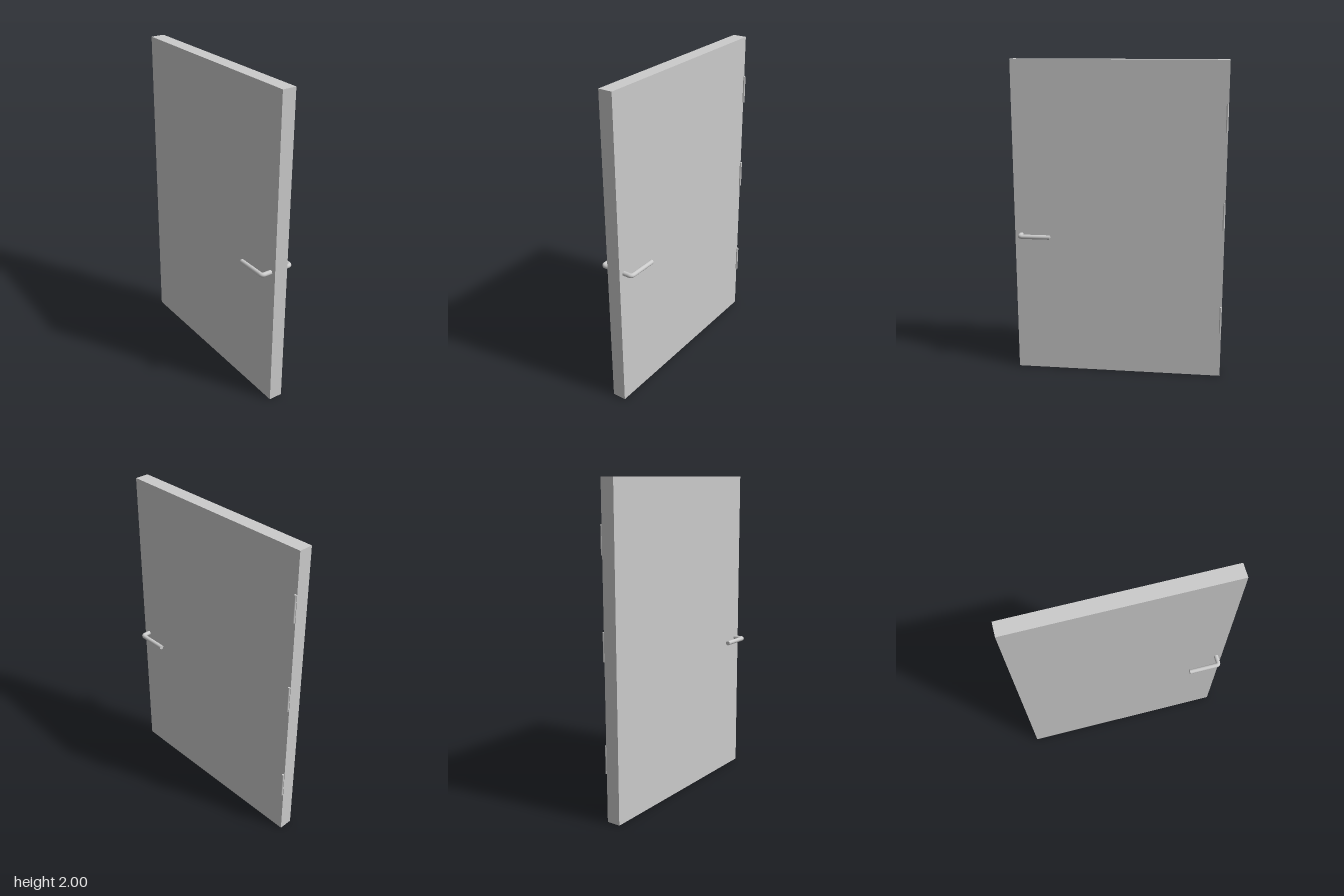
import * as THREE from 'three';
import { mergeGeometries } from 'three/addons/utils/BufferGeometryUtils.js';

const grey = new THREE.MeshStandardMaterial({ color: 0xcccccc });
const HALF_WIDTH = 0.66, HEIGHT = 2, X_MIN = -0.039, X_MAX = 0.049;
const THICK = X_MAX - X_MIN, X_MID = (X_MIN + X_MAX) / 2;
const WINDOW = { z0: -0.165, z1: 0.18, y0: 1.5, y1: 1.67 };

function add(group, name, geometry, x = 0, y = 0, z = 0) {
  const mesh = new THREE.Mesh(geometry, grey);
  mesh.name = name;
  mesh.position.set(x, y, z);
  group.add(mesh);
  return mesh;
}

function rectangle(path, x0, y0, x1, y1) {
  path.moveTo(x0, y0).lineTo(x1, y0).lineTo(x1, y1).lineTo(x0, y1).closePath();
  return path;
}

// Door leaf with a rectangular opening; the shape's x runs along the door's z
function leafGeometry() {
  const shape = rectangle(new THREE.Shape(), -HALF_WIDTH, 0, HALF_WIDTH, HEIGHT);
  shape.holes.push(rectangle(new THREE.Path(), WINDOW.z0, WINDOW.y0, WINDOW.z1, WINDOW.y1));
  const geometry = new THREE.ExtrudeGeometry(shape, { depth: THICK, bevelEnabled: false });
  return geometry.rotateY(-Math.PI / 2).translate(X_MAX, 0, 0);
}

// Lever: a round bar out of the leaf, bent through a right angle, with a flat end
function leverGeometry(side) {
  const radius = 0.014, bend = 0.018, x = side * 0.103, z = 0.62, tip = 0.425;
  const v = (px, pz) => new THREE.Vector3(px, 0, pz);
  const path = new THREE.CurvePath();
  path.add(new THREE.LineCurve3(v(0, z), v(x - side * bend, z)));
  path.add(new THREE.QuadraticBezierCurve3(v(x - side * bend, z), v(x, z), v(x, z - bend)));
  path.add(new THREE.LineCurve3(v(x, z - bend), v(x, tip)));
  const cap = new THREE.CircleGeometry(radius, 20).rotateY(Math.PI).translate(x, 0, tip);
  return mergeGeometries([new THREE.TubeGeometry(path, 64, radius, 20), cap]);
}

export function createModel() {
  const door = new THREE.Group();
  door.name = 'door';

  add(door, 'doorLeaf', leafGeometry());

  // Window pane, flush with both faces
  const { z0, z1, y0, y1 } = WINDOW;
  add(door, 'windowPane', new THREE.BoxGeometry(THICK, y1 - y0, z1 - z0),
    X_MID, (y0 + y1) / 2, (z0 + z1) / 2);

  // Lever handles on both faces
  add(door, 'leftHandle', leverGeometry(1), 0, 0.906, 0);
  add(door, 'rightHandle', leverGeometry(-1), 0, 0.906, 0);

  // Hinge pins along the back edge
  const pin = new THREE.CylinderGeometry(0.007, 0.007, 0.172, 16);
  for (const [name, y] of [['lowerHinge', 0.385], ['middleHinge', 1.058], ['upperHinge', 1.66]]) {
    add(door, name, pin, 0.055, y, -0.653);
  }
  return door;
}
